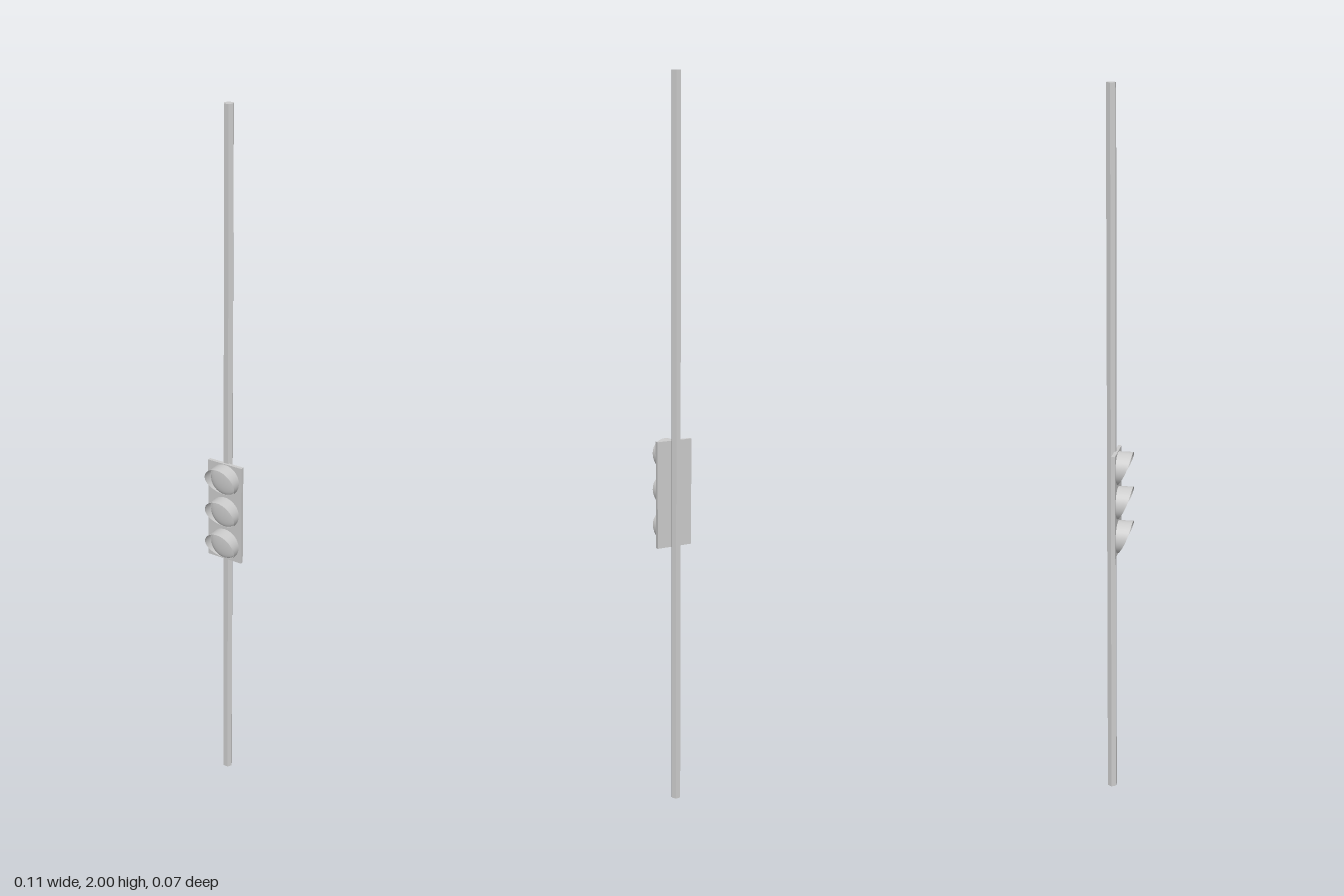
import * as THREE from 'three';

const grey = new THREE.MeshStandardMaterial({ color: 0xcccccc });
const greyFlat = new THREE.MeshStandardMaterial({ color: 0xcccccc, flatShading: true });
const greyThin = new THREE.MeshStandardMaterial({ color: 0xcccccc, side: THREE.DoubleSide });

const PLATE_FRONT = -0.006;
const LAMP_RADIUS = 0.046;

function addMesh(parent, name, geometry, material, x, y, z) {
  const mesh = new THREE.Mesh(geometry, material);
  mesh.name = name;
  mesh.position.set(x, y, z);
  parent.add(mesh);
  return mesh;
}

// Open tube whose front rim sweeps back from the top to meet the plate at the bottom
function visorGeometry() {
  const geometry = new THREE.CylinderGeometry(LAMP_RADIUS, LAMP_RADIUS, 1, 32, 4, true);
  geometry.rotateX(Math.PI / 2);
  const p = geometry.attributes.position;
  for (let i = 0; i < p.count; i++) {
    const t = p.getY(i) / LAMP_RADIUS;
    const rim = 0.021 + 0.0205 * t - 0.0065 * t * t;
    p.setZ(i, PLATE_FRONT + (p.getZ(i) + 0.5) * (rim - PLATE_FRONT));
  }
  geometry.computeVertexNormals();
  return geometry;
}

// Shallow domed lens facing +z
function lensGeometry() {
  const geometry = new THREE.SphereGeometry(LAMP_RADIUS - 0.002, 32, 8, 0, Math.PI * 2, 0, Math.PI / 2);
  geometry.rotateX(Math.PI / 2);
  geometry.scale(1, 1, 0.2);
  return geometry;
}

export function createModel() {
  const model = new THREE.Group();
  model.name = 'trafficLight';

  // Hexagonal pole, flats facing front and back
  const pole = new THREE.CylinderGeometry(0.0138, 0.0138, 2, 6);
  pole.rotateY(Math.PI / 6);
  addMesh(model, 'pole', pole, greyFlat, 0, 1, -0.024);

  // Backing plate
  addMesh(model, 'backPlate', new THREE.BoxGeometry(0.107, 0.296, 0.01), greyFlat, 0, 0.88, -0.011);

  // Three hooded lamps
  const visor = visorGeometry();
  const lens = lensGeometry();
  ['lowerLamp', 'middleLamp', 'upperLamp'].forEach((name, i) => {
    const lamp = new THREE.Group();
    lamp.name = name;
    lamp.position.y = 0.78 + i * 0.1;
    addMesh(lamp, 'visor', visor, greyThin, 0, 0, 0);
    addMesh(lamp, 'lens', lens, grey, 0, 0, PLATE_FRONT);
    model.add(lamp);
  });

  return model;
}
